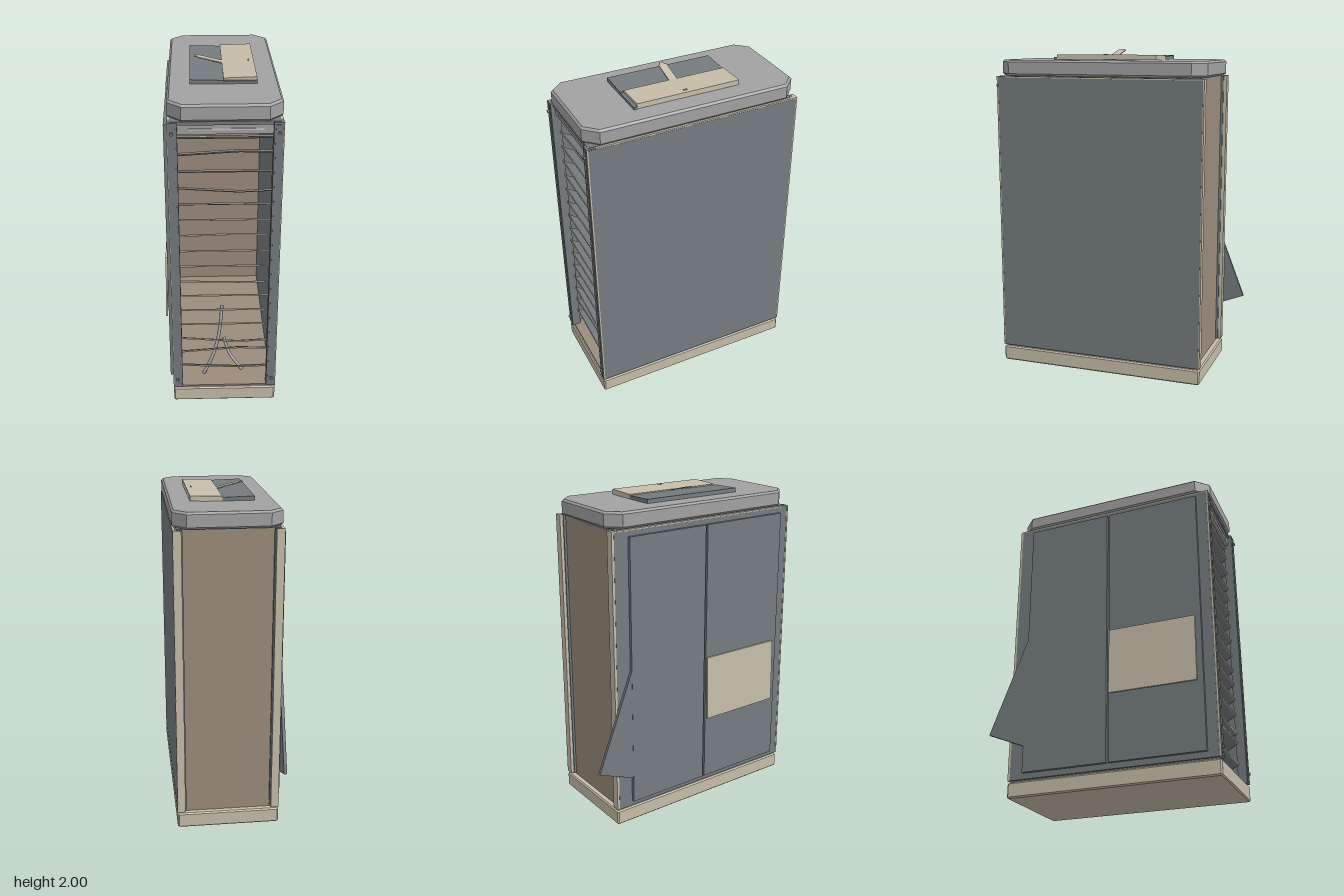
import * as THREE from 'three';

const mat = (name, color, side = THREE.FrontSide) => {
  const m = new THREE.MeshStandardMaterial({ color, side });
  m.name = name;
  return m;
};

export function createModel() {
  const tan = mat('tan', 0xc6bda9, THREE.DoubleSide);
  const brown = mat('brown', 0x9a8c7b);
  const slate = mat('slate', 0x747b7f, THREE.DoubleSide);
  const grey = mat('grey', 0xa2a2a2);
  const pale = mat('pale grey', 0xc4c4c4);
  const root = new THREE.Group();
  root.name = 'cabinet';

  const add = (name, geo, material) => {
    const m = new THREE.Mesh(geo, material);
    m.name = name;
    root.add(m);
    return m;
  };
  // Box given by its extents on each axis
  const box = (name, material, x0, x1, y0, y1, z0, z1) => {
    const m = add(name, new THREE.BoxGeometry(x1 - x0, y1 - y0, z1 - z0), material);
    m.position.set((x0 + x1) / 2, (y0 + y1) / 2, (z0 + z1) / 2);
    return m;
  };
  // Rectangle in plan with cut corners and a small bevel, standing on y0
  const slab = (name, material, x0, x1, y0, y1, z0, z1, cut, bevel) => {
    const a = x0 + bevel, b = x1 - bevel, c = -z1 + bevel, d = -z0 - bevel;
    const pts = [[a + cut, c], [b - cut, c], [b, c + cut], [b, d - cut],
      [b - cut, d], [a + cut, d], [a, d - cut], [a, c + cut]];
    const shape = new THREE.Shape(pts.map(p => new THREE.Vector2(...p)));
    const geo = new THREE.ExtrudeGeometry(shape, {
      depth: y1 - y0 - 2 * bevel, bevelEnabled: true, bevelSize: bevel, bevelThickness: bevel, bevelSegments: 1,
    });
    geo.rotateX(-Math.PI / 2).translate(0, y0 + bevel, 0);
    return add(name, geo, material);
  };

  // Plinth and interior shell
  slab('base', tan, -0.295, 0.325, 0, 0.095, -0.595, 0.715, 0.004, 0.008);
  box('floor', brown, -0.28, 0.31, 0.095, 0.105, -0.56, 0.7);
  box('backWall', brown, -0.28, 0.31, 0.1, 1.835, -0.56, -0.545);
  box('ceiling', slate, -0.28, 0.31, 1.82, 1.84, -0.56, 0.7);
  box('rightWall', slate, -0.295, -0.275, 0.105, 1.83, -0.58, 0.7);
  box('leftWall', slate, 0.3, 0.325, 0.105, 1.83, -0.588, 0.708);

  // Corner posts with pale edge strips
  for (const s of [-1, 1]) {
    const cx = 0.015;
    const span = (a, b) => (s < 0 ? [cx - b, cx - a] : [cx + a, cx + b]);
    box('frontPost', slate, ...span(0.255, 0.309), 0.105, 1.838, 0.66, 0.715);
    box('frontPostStrip', slate, ...span(0.265, 0.295), 0.115, 1.825, 0.714, 0.718);
    box('backPost', tan, ...span(0.262, 0.309), 0.105, 1.838, -0.595, -0.575);
    box('backPostInner', slate, ...span(0.255, 0.3), 0.105, 1.835, -0.575, -0.545);
    box('topTrim', tan, ...span(0.285, 0.309), 1.83, 1.838, -0.59, 0.71);
    box('frontEdgeTrim', tan, ...span(0.307, 0.311), 0.105, 1.838, 0.707, 0.716);
    // Bolts
    for (const y of [0.165, 1.78]) {
      const bolt = add('bolt', new THREE.CylinderGeometry(0.009, 0.009, 0.014, 8), slate);
      bolt.rotation.x = Math.PI / 2;
      bolt.position.set(cx + s * 0.285, y, 0.722);
    }
  }

  // Header above the louvres
  box('header', grey, -0.24, 0.27, 1.765, 1.835, 0.66, 0.69);
  box('headerStrip', pale, -0.18, 0.22, 1.788, 1.798, 0.69, 0.694);

  // Sloping louvres, some of them bent
  const bends = { 1: 0.02, 3: -0.025, 6: 0.008, 9: -0.012, 13: -0.03, 14: 0.025, 15: -0.02 };
  const bend = (geo, k) => {
    const p = geo.attributes.position;
    for (let i = 0; i < p.count; i++) {
      const u = (p.getX(i) + 0.255) / 0.51;
      p.setY(i, p.getY(i) + k * (u < 0.65 ? u / 0.65 : 1 - (u - 0.65) * 0.9));
    }
    geo.computeVertexNormals();
    return geo;
  };
  for (let i = 0; i < 16; i++) {
    const y = 1.743 - i * 0.1006, k = bends[i] || 0;
    const blade = new THREE.PlaneGeometry(0.51, 0.082, 6, 1);
    blade.rotateX(-Math.PI / 2 - 0.52).translate(0, -0.021, -0.036);
    // Tilt so that the front edge is the high one
    const p = blade.attributes.position;
    for (let j = 0; j < p.count; j++) p.setY(j, p.getZ(j) > -0.036 ? 0 : -0.042);
    add('louvre', bend(blade, k), slate).position.set(0.015, y, 0.67);
    const lip = bend(new THREE.BoxGeometry(0.51, 0.009, 0.006, 6, 1, 1), k);
    add('louvreLip', lip, tan).position.set(0.015, y + 0.003, 0.67);
  }

  // Loose cables in the bottom
  const cables = [
    [[0.01, 0.49, 0.4], [-0.01, 0.34, 0.48], [-0.05, 0.22, 0.55], [-0.11, 0.115, 0.6]],
    [[0.02, 0.28, 0.45], [0.05, 0.2, 0.5], [0.13, 0.11, 0.56]],
  ];
  for (const pts of cables) {
    const curve = new THREE.CatmullRomCurve3(pts.map(p => new THREE.Vector3(...p)));
    add('cable', new THREE.TubeGeometry(curve, 12, 0.01, 6), grey);
  }

  // Outer panels on the right side
  box('rearSidePanel', slate, -0.317, -0.297, 0.14, 1.8, -0.49, 0.045);
  box('frontSidePanel', slate, -0.315, -0.297, 0.14, 1.8, 0.06, 0.64);
  const patch = box('patchPlate', tan, -0.329, -0.319, 0.555, 0.965, 0.065, 0.605);
  patch.rotation.z = -0.018;

  // Torn corner sticking out behind the rear side panel
  const torn = new THREE.Shape([[0.46, 1.06], [0.48, 1.03], [0.727, 0.4], [0.48, 0.3], [0.3, 0.3]]
    .map(p => new THREE.Vector2(...p)));
  const tornGeo = new THREE.ExtrudeGeometry(torn, { depth: 0.018, bevelEnabled: false });
  tornGeo.rotateY(Math.PI / 2).translate(-0.316, 0, 0);
  add('tornPanel', tornGeo, slate);

  // Lid with cut corners
  slab('lid', grey, -0.295, 0.325, 1.842, 1.937, -0.595, 0.712, 0.07, 0.012);

  // Two-tone hatch and its lifted handle
  const darkHatch = box('hatchDarkHalf', slate, -0.172, 0.016, 1.935, 1.96, -0.27, 0.385);
  darkHatch.rotation.z = -0.03;
  const tanHatch = box('hatchPaleHalf', tan, 0.016, 0.203, 1.937, 1.967, -0.27, 0.365);
  tanHatch.rotation.z = 0.03;
  box('hatchFrontEdge', slate, -0.17, 0.203, 1.936, 1.952, 0.36, 0.385);
  const handle = box('handle', tan, -0.127, 0.02, 1.974, 1.98, 0.032, 0.082);
  handle.rotation.z = -0.24;
  const tip = box('handleTip', tan, -0.145, -0.12, 1.992, 1.998, 0.045, 0.07);
  tip.rotation.z = -0.24;
  box('handleCatch', grey, 0.168, 0.176, 1.965, 1.973, 0.045, 0.069);

  return root;
}
